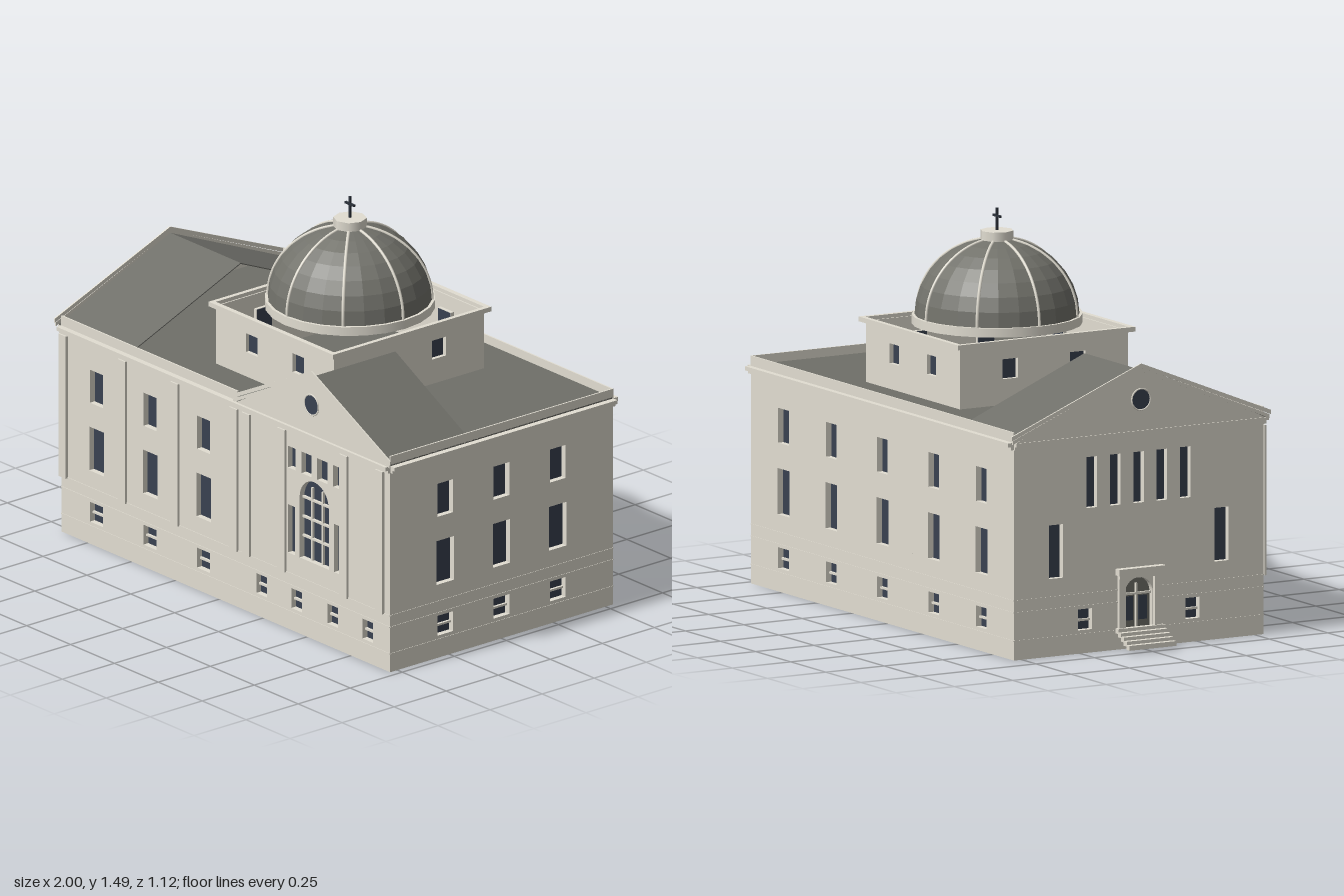
import * as THREE from 'three';

const mat = (name, color, extra = {}) => Object.assign(new THREE.MeshStandardMaterial({ color, ...extra }), { name });

export function createModel() {
  const stone = mat('pale stone', 0xe2ded2);
  const roof = mat('grey roof', 0x6f6f69, { side: THREE.DoubleSide });
  const domeMat = mat('grey dome', 0x72726b, { flatShading: true });
  const glass = mat('dark glass', 0x394150);
  const metal = mat('dark metal', 0x2c323b);
  const model = new THREE.Group();
  model.name = 'domedHall';

  const add = (parent, name, geo, material, x = 0, y = 0, z = 0) => {
    const m = new THREE.Mesh(geo, material);
    m.name = name;
    m.position.set(x, y, z);
    parent.add(m);
    return m;
  };
  // Box given by its limits on each axis
  const box = (parent, name, material, x0, x1, y0, y1, z0, z1) =>
    add(parent, name, new THREE.BoxGeometry(x1 - x0, y1 - y0, z1 - z0), material,
      (x0 + x1) / 2, (y0 + y1) / 2, (z0 + z1) / 2);
  const extrude = (shape, depth) => new THREE.ExtrudeGeometry(shape, { depth, bevelEnabled: false });

  // Outline of an opening, grown by g on all sides; the top is a half circle when arched
  const outline = (Type, { u, y0, y1, w, arch }, g = 0) => {
    const p = new Type(), r = w / 2 + g;
    p.moveTo(u - r, y0 - g);
    p.lineTo(u + r, y0 - g);
    if (arch) {
      p.lineTo(u + r, y1 - w / 2);
      p.absarc(u, y1 - w / 2, r, 0, Math.PI, false);
    } else {
      p.lineTo(u + r, y1 + g);
      p.lineTo(u - r, y1 + g);
    }
    p.lineTo(u - r, y0 - g);
    return p;
  };

  // Thin wall with openings, each lined by a deep reveal; its outer face lies on local z = 0
  const wall = (name, u0, u1, y0, y1, deep, openings, x, z, turn) => {
    const g = new THREE.Group();
    g.name = name;
    const s = new THREE.Shape();
    s.moveTo(u0, y0); s.lineTo(u1, y0); s.lineTo(u1, y1); s.lineTo(u0, y1); s.lineTo(u0, y0);
    s.holes = openings.map(o => outline(THREE.Path, o));
    add(g, name + 'Masonry', extrude(s, 0.005), stone, 0, 0, -0.005);
    for (const o of openings) {
      const lining = outline(THREE.Shape, o, 0.004);
      lining.holes = [outline(THREE.Path, o)];
      add(g, 'windowReveal', extrude(lining, deep - 0.004), stone, 0, 0, -deep);
      add(g, 'windowPane', extrude(outline(THREE.Shape, o, 0.002), 0.004), o.fill || glass, 0, 0, -deep - 0.002);
      const zb = -deep + 0.002;
      for (const y of o.bars || []) box(g, 'glazingBar', stone, o.u - o.w / 2, o.u + o.w / 2, y - 0.004, y + 0.004, zb, zb + 0.01);
      for (const d of o.posts || []) box(g, 'glazingPost', stone, o.u + d - 0.004, o.u + d + 0.004, o.y0, o.y1 - o.w * 0.2, zb, zb + 0.01);
    }
    g.position.set(x, 0, z);
    g.rotation.y = turn;
    model.add(g);
    return g;
  };
  const cellar = (u, w = 0.075) => ({ u, y0: 0.087, y1: 0.165, w, bars: [0.122] });
  const column = u => [cellar(u), { u, y0: 0.288, y1: 0.46, w: 0.083 }, { u, y0: 0.555, y1: 0.685, w: 0.075 }];

  // Main walls
  const H = 0.81, D = 0.025;
  const front = wall('frontWall', -0.9, 0.972, 0, H, D, [
    ...[-0.7, -0.395, -0.09].flatMap(column),
    ...[0.24, 0.44, 0.645, 0.845].map(u => cellar(u, 0.06)),
    ...[[0.412, 0.044], [0.496, 0.058], [0.586, 0.058], [0.67, 0.044]].map(([u, w]) => ({ u, y0: 0.635, y1: 0.72, w })),
    ...[0.41, 0.672].map(u => ({ u, y0: 0.3, y1: 0.49, w: 0.04 })),
    { u: 0.54, y0: 0.3, y1: 0.62, w: 0.166, arch: true, bars: [0.385, 0.46, 0.537], posts: [-0.03, 0.03] },
  ], 0, 0.535, 0);
  wall('leftWall', -0.535, 0.535, 0, H, D, [-0.27, 0, 0.27].flatMap(column), 0.972, 0, Math.PI / 2);
  wall('backWall', -0.972, 0.9, 0, H, D, [-0.705, -0.365, 0, 0.365, 0.705].flatMap(d => column(d - 0.035)), 0, -0.535, Math.PI);
  const entry = wall('entranceWall', -0.535, 0.535, 0, H, D, [
    ...[-0.355, 0.355].map(u => ({ u, y0: 0.29, y1: 0.49, w: 0.06 })),
    ...[-0.23, 0.23].map(u => cellar(u, 0.06)),
    ...[-2, -1, 0, 1, 2].map(i => ({ u: i * 0.1, y0: 0.54, y1: 0.73, w: 0.045 })),
    { u: 0, y0: 0.075, y1: 0.262, w: 0.12, arch: true, fill: roof, bars: [0.2], posts: [0] },
  ], -0.9, 0, -Math.PI / 2);

  // Front pilasters
  for (const x of [-0.885, -0.548, -0.248, 0.088, 0.158, 0.361, 0.714, 0.918])
    box(front, 'pilaster', stone, x - 0.021, x + 0.021, 0.22, 0.78, 0, 0.01);

  // Fine courses around the base
  for (const y of [0.072, 0.177, 0.222]) {
    const y0 = y - 0.002, y1 = y + 0.002;
    box(model, 'frontCourse', stone, -0.9, 0.972, y0, y1, 0.533, 0.537);
    box(model, 'backCourse', stone, -0.9, 0.972, y0, y1, -0.537, -0.533);
    box(model, 'leftCourse', stone, 0.97, 0.974, y0, y1, -0.535, 0.535);
    for (const s of [-1, 1]) box(entry, 'entranceCourse', stone, s * 0.31 - 0.225, s * 0.31 + 0.225, y0, y1, -0.002, 0.002);
  }

  // Stepped cornice with open corners, flat roof and thin parapets
  for (const [out, y0, y1] of [[0.024, 0.797, 0.812], [0.012, 0.785, 0.797]]) {
    box(model, 'longCornice', stone, -0.9, 0.974, y0, y1, -0.535 - out, 0.535 + out);
    box(model, 'endCornice', stone, -0.896 - out, 0.974 + out, y0, y1, -0.535, 0.535);
  }
  box(model, 'flatRoof', roof, -0.91, 0.974, 0.812, 0.817, -0.535, 0.535);
  box(model, 'frontParapet', stone, -0.9, 0.105, 0.812, 0.85, 0.53, 0.536);
  box(model, 'backParapet', stone, -0.9, 0.974, 0.812, 0.85, -0.536, -0.53);
  box(model, 'leftParapet', stone, 0.968, 0.974, 0.812, 0.85, -0.535, 0.535);

  // Gable facing local +z: two open slopes, stone face, raking cornices and round window
  const gable = (name, half, x, z, turn) => {
    const g = new THREE.Group();
    g.name = name;
    const band = (h, y, rise) => {
      const s = new THREE.Shape();
      s.moveTo(-h, 0.814 + y);
      s.lineTo(0, 1.038 + y);
      s.lineTo(h, 0.814 + y);
      s.lineTo(h, 0.814 + y - rise);
      s.lineTo(0, 1.038 + y - rise);
      s.lineTo(-h, 0.814 + y - rise);
      return s;
    };
    add(g, name + 'Slopes', extrude(band(half, 0, 0.004), 0.4), roof, 0, 0, -0.4);
    const face = new THREE.Shape();
    face.moveTo(-half, 0.812); face.lineTo(half, 0.812); face.lineTo(0, 1.05);
    add(g, name + 'Face', extrude(face, 0.002), stone, 0, 0, 0);
    add(g, 'outerRake', extrude(band(half + 0.02, 0.024, 0.016), 0.006), stone);
    add(g, 'innerRake', extrude(band(half + 0.015, 0.008, 0.014), 0.004), stone);
    add(g, 'roundWindow', new THREE.CircleGeometry(0.037, 16), glass, 0, 0.928, 0.004);
    add(g, 'roundWindowFrame', new THREE.TorusGeometry(0.04, 0.003, 6, 24), stone, 0, 0.928, 0.003);
    g.position.set(x, 0, z);
    g.rotation.y = turn;
    model.add(g);
  };
  gable('frontGable', 0.43, 0.54, 0.545, 0);
  gable('entranceGable', 0.535, -0.914, 0, -Math.PI / 2);

  // Entrance surround, door panes and steps
  for (const s of [-1, 1]) {
    box(entry, 'doorJamb', stone, s * 0.076 - 0.014, s * 0.076 + 0.014, 0.07, 0.275, 0, 0.014);
    box(entry, 'doorPane', glass, s * 0.03 - 0.018, s * 0.03 + 0.018, 0.1, 0.19, -D, -D + 0.004);
  }
  box(entry, 'doorLintel', stone, -0.09, 0.09, 0.264, 0.278, 0, 0.016);
  box(entry, 'doorHood', stone, -0.1, 0.1, 0.278, 0.302, 0, 0.03);
  for (let i = 0; i < 5; i++)
    box(entry, 'step', stone, -0.1, 0.1, 0.062 - 0.0125 * i, 0.08 - 0.0125 * i, 0.02 * i, 0.02 * i + 0.022);

  // Open square drum below the dome
  const cx = 0.109, hx = 0.335, hz = 0.36, y0 = 0.815, y1 = 1.046;
  const pair = (c, d) => [-d, d].map(k => ({ u: c + k, y0: 0.913, y1: 0.987, w: 0.066 }));
  wall('drumFront', cx - hx, cx + hx, y0, y1, 0.018, pair(cx, 0.133), 0, hz, 0);
  wall('drumBack', -cx - hx, -cx + hx, y0, y1, 0.018, pair(-cx, 0.133), 0, -hz, Math.PI);
  wall('drumLeft', -hz, hz, y0, y1, 0.018, pair(0, 0.145), cx + hx, 0, Math.PI / 2);
  wall('drumRight', -hz, hz, y0, y1, 0.018, pair(0, 0.145), cx - hx, 0, -Math.PI / 2);
  for (const s of [-1, 1]) {
    const x = cx + s * 0.345, z = s * 0.37;
    box(model, 'drumCornice', stone, x - 0.009, x + 0.009, 1.042, 1.06, -0.38, 0.38);
    box(model, 'drumCornice', stone, cx - 0.354, cx + 0.354, 1.042, 1.06, z - 0.01, z + 0.01);
  }

  // Dome with its ring, ribs, lantern and cross
  const dome = new THREE.Group();
  dome.name = 'dome';
  dome.position.set(cx, 1.09, 0);
  model.add(dome);
  const R = 0.303, DH = 0.283;
  add(dome, 'domeRing', new THREE.CylinderGeometry(0.314, 0.314, 0.034, 24), stone, 0, -0.017, 0);
  const shell = new THREE.SphereGeometry(R, 24, 8, 0, Math.PI * 2, 0, Math.PI / 2);
  shell.scale(1, DH / R, 1);
  add(dome, 'domeShell', shell, domeMat);
  const arc = [];
  for (let i = 0; i <= 10; i++) {
    const a = (i / 10) * 1.4;
    arc.push(new THREE.Vector3(R * Math.cos(a), DH * Math.sin(a), 0));
  }
  const ribGeo = new THREE.TubeGeometry(new THREE.CatmullRomCurve3(arc), 20, 0.006, 6);
  for (let i = 0; i < 8; i++) add(dome, 'domeRib', ribGeo, stone).rotation.y = i * Math.PI / 4;
  add(dome, 'lantern', new THREE.CylinderGeometry(0.062, 0.062, 0.036, 8), stone, 0, 0.294, 0);
  box(dome, 'crossPost', metal, -0.004, 0.004, 0.31, 0.395, -0.004, 0.004);
  box(dome, 'crossArm', metal, -0.026, 0.026, 0.361, 0.369, -0.004, 0.004);

  return model;
}
